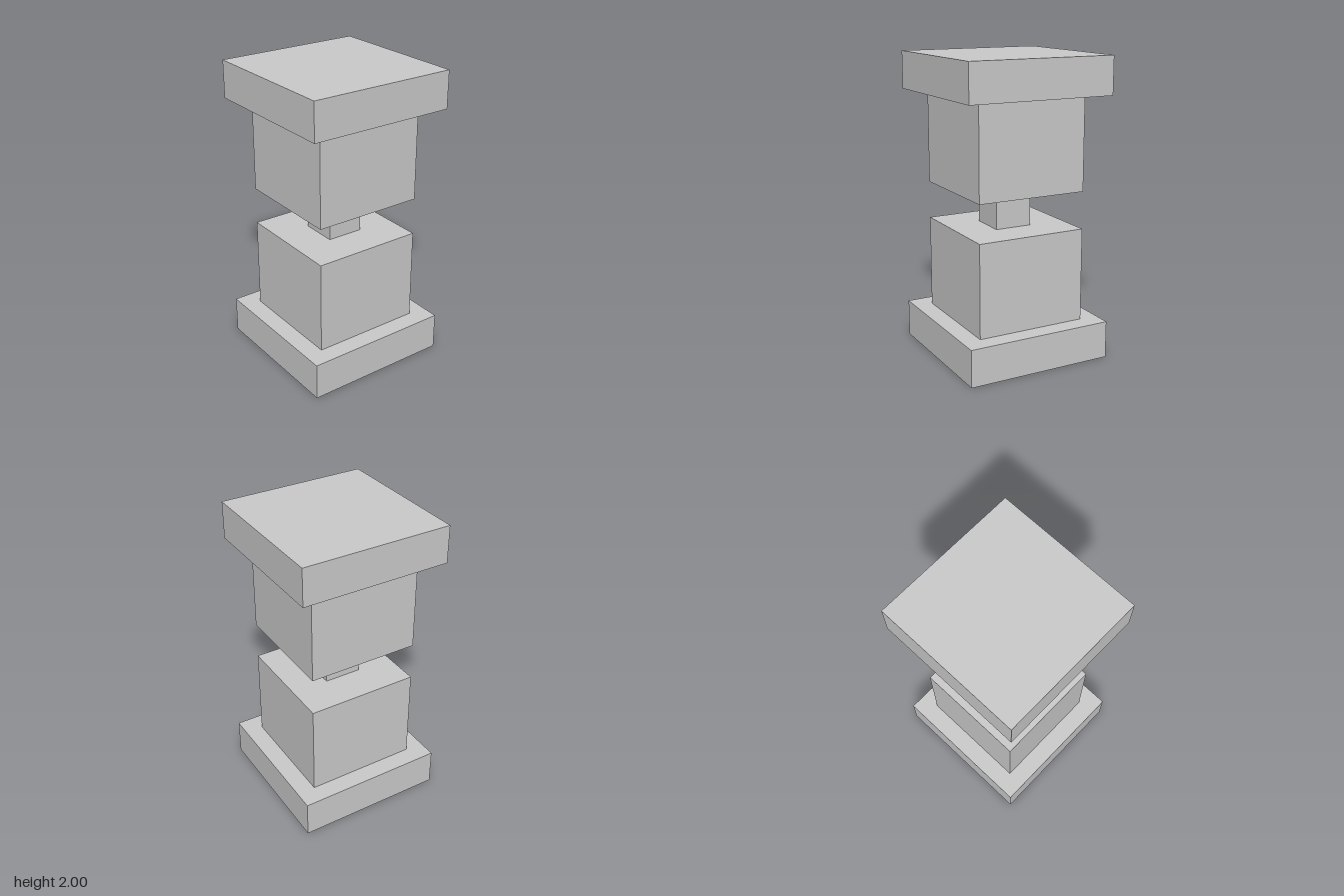
import * as THREE from 'three';

export function createModel() {
  const model = new THREE.Group();
  model.name = 'pillar';
  const material = new THREE.MeshStandardMaterial({ color: 0xcccccc, flatShading: true });

  // Square block of the given width, spanning bottom to top
  const addBlock = (name, width, bottom, top) => {
    const block = new THREE.Mesh(new THREE.BoxGeometry(width, top - bottom, width), material);
    block.name = name;
    block.position.y = (bottom + top) / 2;
    model.add(block);
  };

  // Stacked from the ground up
  addBlock('base', 1, 0, 0.25);
  addBlock('lowerBlock', 0.75, 0.25, 0.875);
  addBlock('neck', 0.25, 0.875, 1.125);
  addBlock('upperBlock', 0.75, 1.125, 1.75);
  addBlock('cap', 1, 1.75, 2);

  return model;
}
